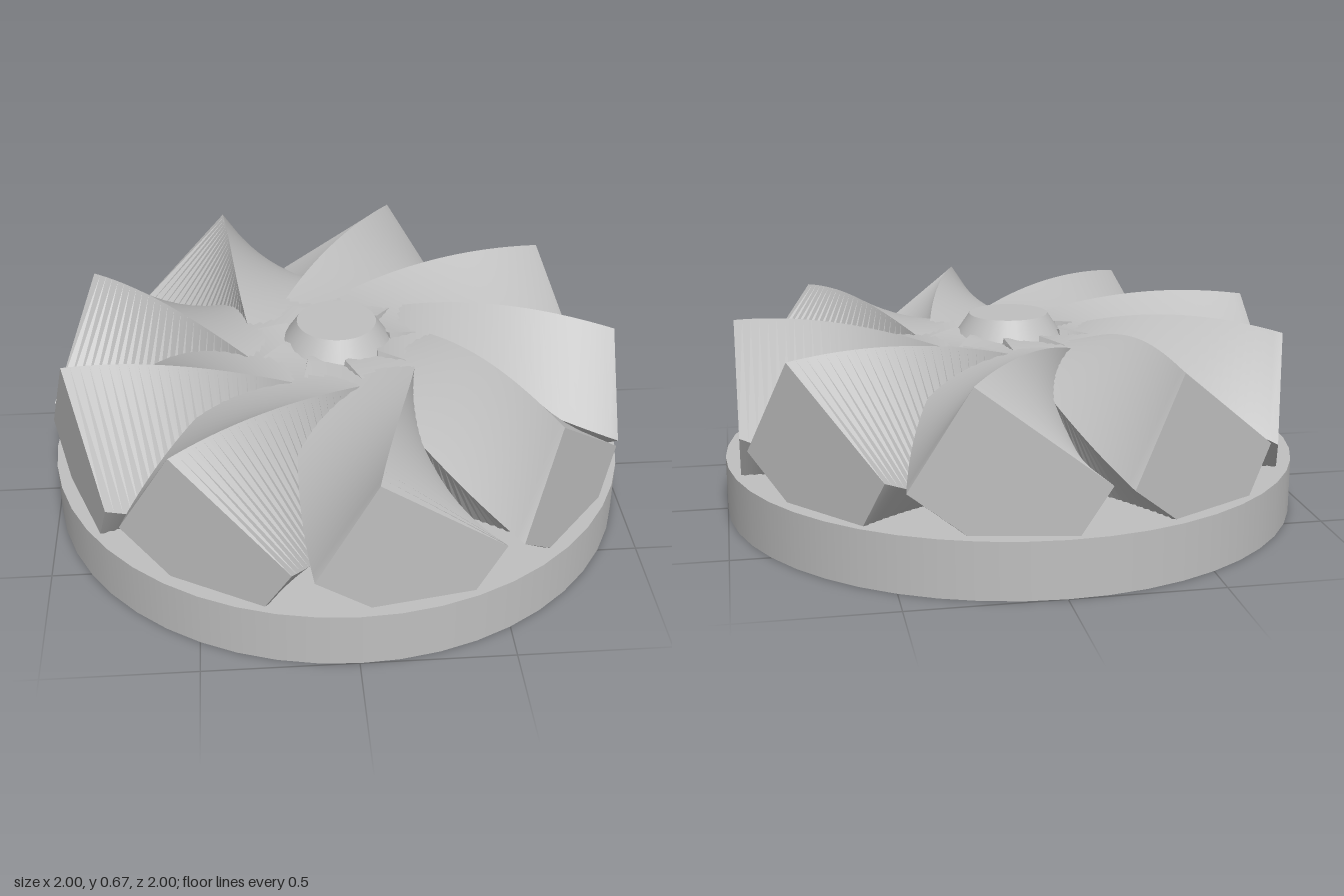
import * as THREE from 'three';
import { toCreasedNormals } from 'three/addons/utils/BufferGeometryUtils.js';

const BLADES = 9;
const INNER = 0.13, OUTER = 0.95;          // blade start and end radius
const TWIST = THREE.MathUtils.degToRad(82); // twist per unit of radius
const AXIS_Y = 0.335;                      // height of each blade's long axis

// A rectangular bar along +x that turns about its own axis
function bladeGeometry() {
  const section = new THREE.Shape([
    [-0.107, 0.317], [-0.309, -0.012], [0.107, -0.317], [0.309, 0.012],
  ].map(([x, y]) => new THREE.Vector2(x, y)));
  const geo = new THREE.ExtrudeGeometry(section, {
    depth: OUTER - INNER, steps: 28, bevelEnabled: false,
  });
  const pos = geo.attributes.position;
  for (let i = 0; i < pos.count; i++) {
    const r = INNER + pos.getZ(i);
    const a = -TWIST * (OUTER - r);
    const x = pos.getX(i), y = pos.getY(i);
    pos.setXYZ(i,
      x * Math.cos(a) - y * Math.sin(a),
      x * Math.sin(a) + y * Math.cos(a), r);
  }
  geo.rotateY(Math.PI / 2);
  geo.translate(0, AXIS_Y, 0);
  return toCreasedNormals(geo, 0.6);
}

export function createModel() {
  const group = new THREE.Group();
  const metal = new THREE.MeshStandardMaterial({ color: 0xbfbfbf });
  metal.name = 'grey metal';

  const add = (name, geo) => {
    const mesh = new THREE.Mesh(geo, metal);
    mesh.name = name;
    group.add(mesh);
    return mesh;
  };

  // Round base plate
  add('basePlate', new THREE.CylinderGeometry(1, 1, 0.19, 48).translate(0, 0.095, 0));

  // Twisted blades around the hub
  const blade = bladeGeometry();
  for (let i = 0; i < BLADES; i++) {
    add('blade', blade).rotation.y = -i * 2 * Math.PI / BLADES;
  }

  // Tapered hub cap on a solid core
  add('hubCap', new THREE.CylinderGeometry(0.137, 0.205, 0.1, 32).translate(0, 0.615, 0));
  add('hubCore', new THREE.CylinderGeometry(0.2, 0.2, 0.4, 32).translate(0, 0.37, 0));

  return group;
}
